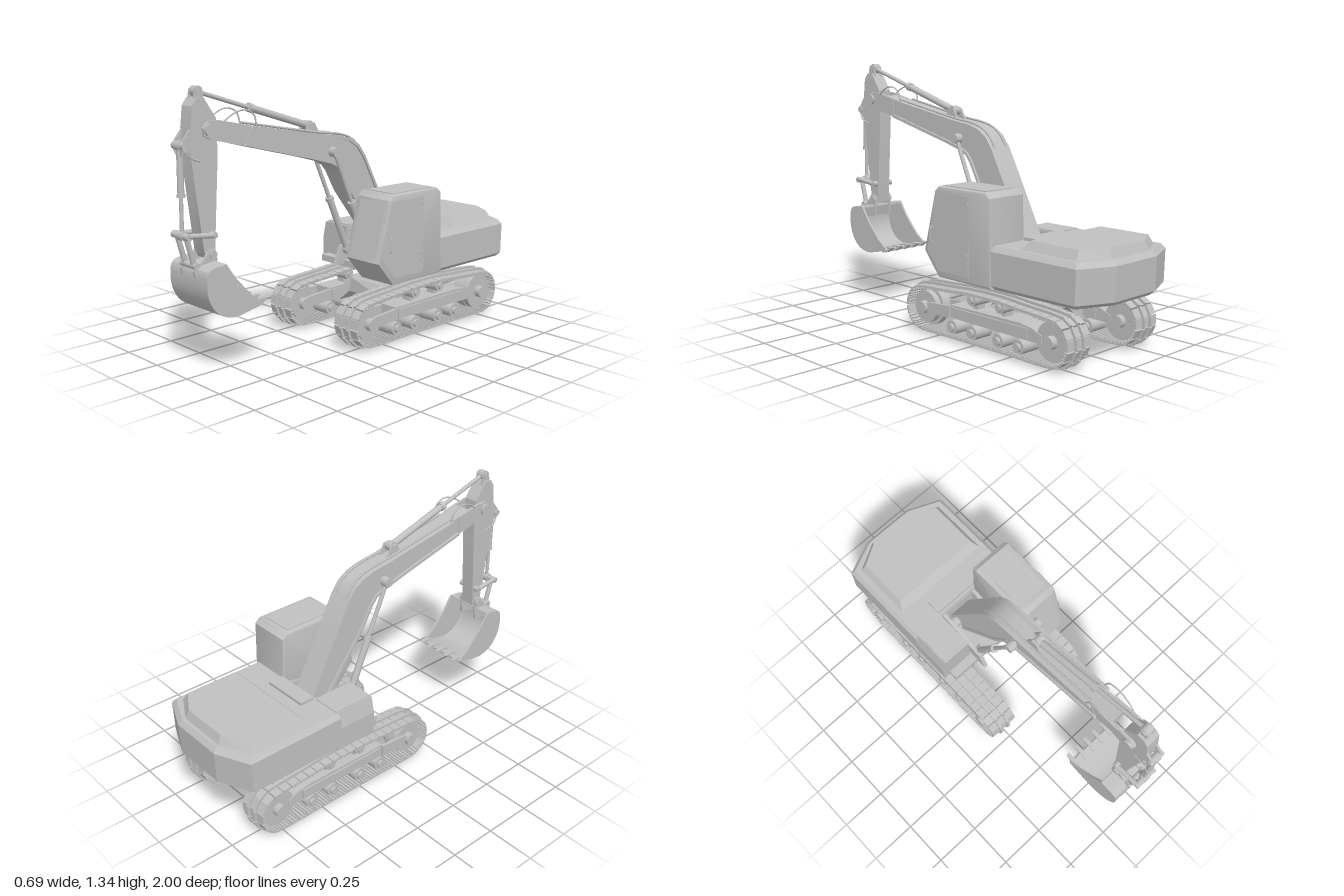
import * as THREE from 'three';
import { toCreasedNormals } from 'three/addons/utils/BufferGeometryUtils.js';

const grey = new THREE.MeshStandardMaterial({ color: 0xc0c0c0 });
grey.name = 'light grey';

const V = (x, y, z) => new THREE.Vector3(x, y, z);

function add(parent, name, geo, x = 0, y = 0, z = 0) {
  const m = new THREE.Mesh(geo, grey);
  m.name = name;
  m.position.set(x, y, z);
  parent.add(m);
  return m;
}
const box = (p, name, w, h, d, x, y, z) => add(p, name, new THREE.BoxGeometry(w, h, d), x, y, z);

// Side profile of [z, y] points, extruded across x
function sideGeo(pts, width, bevel = 0, crease = 0.4) {
  const shape = new THREE.Shape(pts.map(p => new THREE.Vector2(p[0], p[1])));
  const geo = new THREE.ExtrudeGeometry(shape, {
    depth: width - 2 * bevel, bevelEnabled: bevel > 0, bevelSize: bevel,
    bevelThickness: bevel, bevelOffset: -bevel, bevelSegments: 2,
  });
  geo.rotateY(-Math.PI / 2).translate(width / 2 - bevel, 0, 0);
  return toCreasedNormals(geo, crease);
}
const side = (p, name, pts, width, x, bevel) => add(p, name, sideGeo(pts, width, bevel), x);

// Round bar between two points
function rod(p, name, a, b, r, seg = 16) {
  const m = add(p, name, new THREE.CylinderGeometry(r, r, a.distanceTo(b), seg));
  m.position.copy(a).lerp(b, 0.5);
  m.quaternion.setFromUnitVectors(V(0, 1, 0), b.clone().sub(a).normalize());
  return m;
}
const pin = (p, name, y, z, w, r, x = 0, seg = 20) => rod(p, name, V(x - w / 2, y, z), V(x + w / 2, y, z), r, seg);

// Hydraulic ram: thick barrel from a, thin rod to b
function ram(p, name, a, b, split, r) {
  const g = new THREE.Group();
  g.name = name;
  p.add(g);
  const mid = a.clone().lerp(b, split);
  rod(g, 'barrel', a, mid, r);
  rod(g, 'barrelCollar', mid, mid.clone().lerp(a, 0.06), r * 1.25);
  rod(g, 'pistonRod', mid, b, r * 0.6);
  for (const e of [a, b]) pin(g, 'eye', e.y, e.z, r * 2.2, r * 1.4, e.x);
}
const hose = (p, name, pts, r = 0.005) =>
  add(p, name, new THREE.TubeGeometry(new THREE.CatmullRomCurve3(pts), 24, r, 8));

// Stacked plan outlines: rings of [y, [[x, z], ...]]
function loft(rings) {
  const pos = [], n = rings[0][1].length;
  const at = (r, i) => [rings[r][1][i % n][0], rings[r][0], rings[r][1][i % n][1]];
  for (let r = 0; r < rings.length - 1; r++)
    for (let i = 0; i < n; i++)
      pos.push(...at(r, i), ...at(r + 1, i), ...at(r + 1, i + 1), ...at(r, i), ...at(r + 1, i + 1), ...at(r, i + 1));
  const top = rings.length - 1;
  for (let i = 1; i < n - 1; i++)
    pos.push(...at(0, 0), ...at(0, i), ...at(0, i + 1), ...at(top, 0), ...at(top, i + 1), ...at(top, i));
  const g = new THREE.BufferGeometry();
  g.setAttribute('position', new THREE.Float32BufferAttribute(pos, 3));
  g.computeVertexNormals();
  return g;
}
// Body outline with chamfered rear corners
const plan = (hw, front, corner, rear, rw) =>
  [[-hw, front], [-hw, corner], [-rw, rear], [rw, rear], [hw, corner], [hw, front]];

function buildTrack(parent, x) {
  const t = new THREE.Group();
  t.name = x > 0 ? 'leftTrack' : 'rightTrack';
  t.position.x = x;
  parent.add(t);
  // Track path: two wheels and a raised upper run
  const R = 0.111, cy = 0.124, pts = [];
  for (let i = 0; i <= 8; i++) {
    const a = Math.PI / 2 - i * Math.PI / 8;
    pts.push(V(0, cy + R * Math.sin(a), 0.1 + R * Math.cos(a)));
  }
  for (const z of [-0.15, -0.33, -0.52]) pts.push(V(0, cy - R, z));
  for (let i = 0; i <= 8; i++) {
    const a = -Math.PI / 2 - i * Math.PI / 8;
    pts.push(V(0, cy + R * Math.sin(a), -0.762 + R * Math.cos(a)));
  }
  pts.push(V(0, 0.247, -0.58), V(0, 0.257, -0.43), V(0, 0.257, -0.24), V(0, 0.247, -0.08));
  const path = new THREE.CatmullRomCurve3(pts, true, 'centripetal');
  path.arcLengthDivisions = 600;
  const N = 47;
  for (let i = 0; i < N; i++) {
    const shoe = new THREE.Group(), p = path.getPointAt(i / N), d = path.getTangentAt(i / N);
    shoe.name = 'trackShoe';
    shoe.position.copy(p);
    shoe.rotation.x = Math.atan2(-d.y, d.z) + Math.PI;
    t.add(shoe);
    box(shoe, 'plate', 0.16, 0.009, 0.047, 0, 0, 0);
    for (const z of [-0.018, 0, 0.018]) box(shoe, 'grouser', 0.158, 0.009, 0.006, 0, 0.008, z);
    for (const s of [-1, 1]) box(shoe, 'chainLink', 0.014, 0.016, 0.054, s * 0.026, -0.01, 0);
  }
  // Wheels and rollers
  for (const z of [0.1, -0.762]) {
    const r = z > 0 ? 0.082 : 0.096;
    pin(t, 'wheel', cy, z, 0.1, r, 0, 32);
    pin(t, 'wheelRim', cy, z, 0.036, 0.1, 0, 32);
    pin(t, 'hub', cy, z, 0.166, 0.032);
  }
  for (const z of [-0.1, -0.24, -0.42, -0.555]) {
    pin(t, 'bottomRoller', 0.055, z, 0.11, 0.036);
    pin(t, 'rollerCap', 0.055, z, 0.14, 0.02);
  }
  for (const z of [-0.24, -0.43]) {
    pin(t, 'carrierRoller', 0.22, z, 0.11, 0.03);
    pin(t, 'carrierCap', 0.22, z, 0.135, 0.017);
    box(t, 'carrierBracket', 0.05, 0.05, 0.03, 0, 0.185, z);
  }
  // Side frame and idler yoke
  side(t, 'trackFrame', [[-0.09, 0.105], [-0.09, 0.17], [-0.56, 0.175], [-0.64, 0.165], [-0.7, 0.14], [-0.7, 0.1], [-0.62, 0.1]], 0.11, 0);
  box(t, 'framePanel', 0.126, 0.05, 0.51, 0, 0.135, -0.36);
  for (const s of [-1, 1])
    side(t, 'idlerYoke', [[-0.09, 0.105], [0.06, 0.1], [0.13, 0.11], [0.13, 0.14], [0.06, 0.155], [-0.09, 0.165]], 0.018, s * 0.056);
}

function buildUndercarriage(root) {
  const u = new THREE.Group();
  u.name = 'undercarriage';
  root.add(u);
  buildTrack(u, -0.26);
  buildTrack(u, 0.24);
  // Arched cross beams spreading to the tracks
  const arch = new THREE.Shape([[-0.23, 0.1], [-0.17, 0.1], [-0.12, 0.155], [0.12, 0.155], [0.17, 0.1], [0.23, 0.1],
    [0.23, 0.15], [0.17, 0.17], [0.11, 0.232], [-0.11, 0.232], [-0.17, 0.17], [-0.23, 0.15]].map(p => new THREE.Vector2(...p)));
  for (const s of [-1, 1]) {
    const g = new THREE.ExtrudeGeometry(arch, { depth: 0.1, bevelEnabled: false });
    g.translate(0, 0, -0.05);
    const p = g.attributes.position;
    for (let i = 0; i < p.count; i++) p.setZ(i, p.getZ(i) + s * Math.max(0, Math.abs(p.getX(i)) - 0.1) * 0.6);
    g.computeVertexNormals();
    add(u, 'crossBeam', g, -0.01, 0, -0.33 + s * 0.1);
  }
  box(u, 'centreFrame', 0.22, 0.08, 0.24, -0.01, 0.193, -0.33);
  add(u, 'turntable', new THREE.CylinderGeometry(0.115, 0.115, 0.06, 40), -0.01, 0.255, -0.33);
  add(u, 'turntableRing', new THREE.CylinderGeometry(0.17, 0.165, 0.025, 40), -0.01, 0.292, -0.33);
}

function buildHouse(root) {
  const h = new THREE.Group();
  h.name = 'house';
  root.add(h);
  add(h, 'engineBody', loft([
    [0.305, plan(0.31, -0.39, -0.9, -0.975, 0.13)], [0.325, plan(0.33, -0.385, -0.915, -0.995, 0.15)],
    [0.49, plan(0.33, -0.385, -0.92, -1, 0.15)], [0.515, plan(0.31, -0.39, -0.905, -0.98, 0.14)]]), -0.01);
  add(h, 'engineHood', loft([
    [0.51, plan(0.285, -0.54, -0.885, -0.965, 0.14)], [0.56, plan(0.255, -0.585, -0.87, -0.945, 0.13)]]), -0.01);
  box(h, 'deck', 0.5, 0.035, 0.3, -0.05, 0.322, -0.27);
  // Storage box beside the boom
  const s = new THREE.Shape([[-0.34, 0.31], [-0.155, 0.31], [-0.155, 0.515], [-0.32, 0.515], [-0.34, 0.43]].map(p => new THREE.Vector2(...p)));
  add(h, 'storageBox', new THREE.ExtrudeGeometry(s, { depth: 0.24, bevelEnabled: false }), 0, 0, -0.41);
  box(h, 'storageLid', 0.15, 0.006, 0.21, -0.24, 0.517, -0.29);
  // Boom foot mounting
  box(h, 'boomBulkhead', 0.255, 0.02, 0.08, -0.028, 0.52, -0.445);
  for (const x of [-1, 1])
    side(h, 'boomBracket', [[-0.41, 0.32], [-0.06, 0.32], [-0.1, 0.42], [-0.17, 0.43], [-0.28, 0.47], [-0.41, 0.5]], 0.02, -0.028 + x * 0.105);
  pin(h, 'boomFootPin', 0.42, -0.34, 0.23, 0.03, -0.028);

  // Cab
  const c = new THREE.Group();
  c.name = 'cab';
  root.add(c);
  side(c, 'cabShell', [[-0.035, 0.305], [0.07, 0.43], [-0.01, 0.74], [-0.035, 0.765], [-0.365, 0.765], [-0.395, 0.74], [-0.405, 0.305]], 0.235, 0.2075, 0.012);
  side(c, 'door', [[-0.04, 0.34], [0.045, 0.435], [-0.025, 0.735], [-0.255, 0.735], [-0.255, 0.34]], 0.006, 0.324);
  const wind = box(c, 'windscreen', 0.175, 0.29, 0.006, 0.21, 0.585, 0.03);
  wind.rotation.x = -Math.atan2(0.08, 0.31);
  box(c, 'roofPanel', 0.18, 0.006, 0.29, 0.2075, 0.766, -0.2);
  for (const y of [0.4, 0.44, 0.7]) box(c, 'doorHinge', 0.012, 0.02, 0.016, 0.327, y, -0.245);
  hose(c, 'grabHandle', [V(0.32, 0.48, 0), V(0.343, 0.485, 0), V(0.346, 0.52, 0), V(0.343, 0.555, 0), V(0.32, 0.56, 0)], 0.004);
}

function buildBucket(parent) {
  const b = new THREE.Group();
  b.name = 'bucket';
  parent.add(b);
  const curve = new THREE.CatmullRomCurve3([[0.845, 0.535], [0.94, 0.515], [0.955, 0.45], [0.94, 0.37], [0.89, 0.305],
    [0.81, 0.276], [0.72, 0.287], [0.63, 0.312]].map(p => V(p[0], p[1], 0)));
  const outer = curve.getPoints(32).map(p => [p.x, p.y]);
  const inner = outer.map(([z, y]) => [0.8 + (z - 0.8) * 0.94, 0.41 + (y - 0.41) * 0.91]).reverse();
  side(b, 'bucketShell', [...outer, ...inner], 0.28, 0);
  const cheek = [...outer, [0.7, 0.36], [0.79, 0.455]];
  for (const s of [-1, 1]) {
    side(b, 'bucketCheek', cheek, 0.012, s * 0.14);
    side(b, 'bucketEar', [[0.96, 0.5], [0.95, 0.545], [0.92, 0.53], [0.87, 0.59], [0.84, 0.59], [0.83, 0.54], [0.84, 0.47], [0.95, 0.45]], 0.014, s * 0.05);
  }
  for (let i = -2; i <= 2; i++)
    side(b, 'tooth', [[0.68, 0.288], [0.64, 0.296], [0.595, 0.327], [0.64, 0.328], [0.68, 0.318]], 0.022, i * 0.062);
  pin(b, 'bucketPin', 0.565, 0.855, 0.13, 0.02);
}

function buildFrontGear(root) {
  const g = new THREE.Group();
  g.name = 'boomAndArm';
  g.position.x = -0.028;
  root.add(g);
  // Boom with wider top and bottom flanges
  const top = [[0.61, 1.14], [0.165, 1.06], [0.05, 1.045], [-0.02, 1.025], [-0.075, 0.99], [-0.12, 0.93], [-0.215, 0.75], [-0.385, 0.42]];
  const low = [[0.66, 1.05], [0.245, 0.945], [0.12, 0.91], [0.07, 0.885], [0.04, 0.85], [-0.02, 0.74], [-0.29, 0.39]];
  const rev = a => [...a].reverse();
  const strip = (a, dz, dy) => [...a, ...rev(a.map(([z, y]) => [z + dz, y + dy]))];
  side(g, 'boomBody', [...top, [-0.34, 0.385], ...rev(low)], 0.11, 0);
  side(g, 'boomTopFlange', strip(top, 0.008, -0.014), 0.132, 0);
  side(g, 'boomBottomFlange', strip(low, -0.008, 0.014), 0.132, 0);
  side(g, 'boomNeck', [[0.61, 1.138], [0.74, 1.165], [0.74, 1.07], [0.61, 1.04]], 0.105, 0);
  for (const s of [-1, 1])
    side(g, 'boomFork', [[0.66, 1.15], [0.8, 1.18], [0.86, 1.18], [0.89, 1.15], [0.885, 1.115], [0.85, 1.095], [0.66, 1.052]], 0.014, s * 0.05);
  pin(g, 'armPivot', 1.14, 0.855, 0.14, 0.03);

  // Arm
  side(g, 'arm', [[0.91, 1.285], [0.87, 1.285], [0.805, 1.19], [0.8, 1.03], [0.83, 0.55], [0.87, 0.545], [0.89, 0.58],
    [0.925, 0.85], [0.955, 1.08], [0.935, 1.25]], 0.077, 0);
  for (const s of [-1, 1]) {
    side(g, 'armTopLug', [[0.915, 1.27], [0.905, 1.325], [0.87, 1.325], [0.855, 1.26]], 0.012, s * 0.02);
    side(g, 'armFrontLug', [[0.93, 1.17], [0.985, 1.1], [0.995, 1.07], [0.975, 1.05], [0.93, 1.03]], 0.012, s * 0.03);
    side(g, 'boomTopLug', [[0.26, 1.07], [0.235, 1.12], [0.2, 1.12], [0.16, 1.05]], 0.012, s * 0.026);
    // Bucket linkage
    rod(g, 'armLink', V(s * 0.055, 0.655, 0.845), V(s * 0.055, 0.67, 0.985), 0.013);
    rod(g, 'bucketLink', V(s * 0.035, 0.665, 0.985), V(s * 0.035, 0.525, 0.945), 0.013);
    // Boom rams
    ram(g, 'boomRam', V(s * 0.085, 0.4, -0.135), V(s * 0.085, 0.97, 0.115), 0.53, 0.018);
    // Hoses looping over the boom end
    hose(g, 'boomHose', [V(s * 0.062, 1.13, 0.59), V(s * 0.065, 1.195, 0.61), V(s * 0.065, 1.218, 0.67), V(s * 0.06, 1.19, 0.75), V(s * 0.045, 1.13, 0.81)], 0.004);
    hose(g, 'armHose', [V(s * 0.04, 1.0, 0.9), V(s * 0.045, 1.02, 0.95), V(s * 0.03, 1.06, 0.99), V(s * 0.015, 1.03, 0.985)], 0.004);
    hose(g, 'boomPipe', top.slice(0, 6).map(([z, y]) => V(s * 0.04, y + 0.008, z)), 0.006);
  }
  pin(g, 'boomRamPin', 0.97, 0.115, 0.205, 0.015);
  pin(g, 'armTopPin', 1.312, 0.885, 0.056, 0.018);
  pin(g, 'armFrontPin', 1.075, 0.98, 0.085, 0.018);
  pin(g, 'linkPin', 0.665, 0.985, 0.13, 0.016);
  pin(g, 'armLinkPin', 0.655, 0.845, 0.13, 0.016);
  pin(g, 'bucketLinkPin', 0.525, 0.945, 0.12, 0.016);
  ram(g, 'armRam', V(0, 1.105, 0.22), V(0, 1.312, 0.885), 0.56, 0.018);
  ram(g, 'bucketRam', V(0, 1.075, 0.98), V(0, 0.665, 0.982), 0.57, 0.016);
  buildBucket(g);
}

export function createModel() {
  const root = new THREE.Group();
  root.name = 'excavator';
  buildUndercarriage(root);
  buildHouse(root);
  buildFrontGear(root);
  return root;
}
